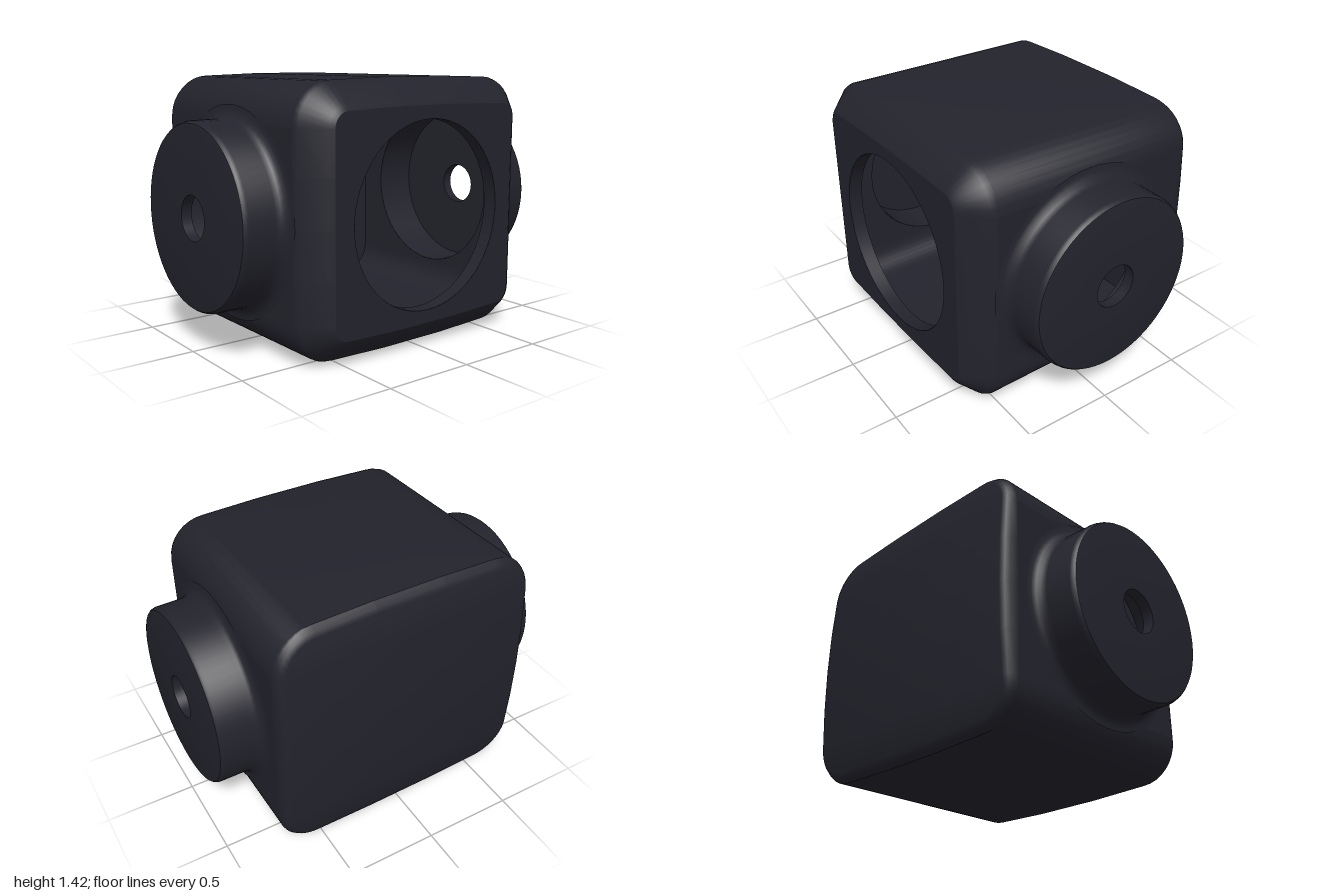
import * as THREE from 'three';
import { toCreasedNormals } from 'three/addons/utils/BufferGeometryUtils.js';

const ARC = 8; // steps per rounded corner
const HALF = 2 * ARC + 7; // section points per half turn
const COUNT = 2 * HALF;
const BOSS_BORE = 0.46;
const FACE_BORE = 0.5;

// Rounded, slightly crowned block section in [z, y], shrunk by inset
function section(inset) {
  const hz = 0.755 - inset, hy = 0.7 - inset, r = 0.22 - inset;
  const half = [[hz, 0], [hz, 0.25]];
  const corner = (start, sign) => {
    for (let k = 0; k <= ARC; k++) {
      const a = start + (k / ARC) * Math.PI / 2;
      half.push([sign * (hz - r) + r * Math.cos(a), hy - r + r * Math.sin(a)]);
    }
  };
  corner(0, 1);
  half.push([0.2, hy + 0.01], [-0.2, hy + 0.01]);
  corner(Math.PI / 2, -1);
  half.push([-hz, 0.25]);
  return [...half, ...half.map(([z, y]) => [-z, -y])];
}

// Loft of sections along x with a closed left end; the flat sides of one span stay open
function loft(rings, openSpan) {
  const pos = [], idx = [];
  for (const [x, inset, bow] of rings) {
    for (const [z, y] of section(inset)) pos.push(x + bow * (y / 0.71) ** 2, y, z);
  }
  const at = (i, j) => i * COUNT + ((j % COUNT) + COUNT) % COUNT;
  for (let i = 0; i < rings.length - 1; i++) {
    for (let j = 0; j < COUNT; j++) {
      const k = j % HALF;
      if (i === openSpan && (k < 2 || k >= HALF - 2)) continue;
      idx.push(at(i, j), at(i + 1, j), at(i, j + 1));
      idx.push(at(i + 1, j), at(i + 1, j + 1), at(i, j + 1));
    }
  }
  for (let j = -(ARC + 3); j < ARC + 3; j++) {
    const a = at(0, j), b = at(0, j + 1), c = at(0, HALF - j - 1), d = at(0, HALF - j);
    idx.push(a, b, c, a, c, d);
  }
  const g = new THREE.BufferGeometry();
  g.setAttribute('position', new THREE.Float32BufferAttribute(pos, 3));
  g.setIndex(idx);
  return toCreasedNormals(g, 0.6);
}

// Flat outline with a round hole
function plate(points, radius) {
  const shape = new THREE.Shape(points.map(([u, v]) => new THREE.Vector2(u, v)));
  const hole = new THREE.Path();
  hole.absarc(0, 0, radius, 0, Math.PI * 2, true);
  shape.holes.push(hole);
  return new THREE.ShapeGeometry(shape, 64);
}

export function createModel() {
  const model = new THREE.Group();
  const block = new THREE.Group();
  block.name = 'housing';
  block.position.y = 0.71;
  block.rotation.y = 0.02;
  model.add(block);

  const charcoal = new THREE.MeshStandardMaterial({ color: 0x23232d, side: THREE.DoubleSide });
  charcoal.name = 'charcoal';
  const add = (name, geometry, parent = block) => {
    const mesh = new THREE.Mesh(geometry, charcoal);
    mesh.name = name;
    parent.add(mesh);
    return mesh;
  };

  // Outer shell: bowed closed end, chamfered open end
  add('outerShell', loft([
    [-0.71, 0.05, 0.045], [-0.7, 0.022, 0.045], [-0.68, 0.006, 0.045], [-0.63, 0, 0],
    [0.55, 0, 0], [0.58, 0.012, 0], [0.685, 0.115, 0], [0.7, 0.14, 0],
  ], 3));

  // Hollow inside
  add('innerCavity', loft([[-0.62, 0.08, 0], [0.62, 0.08, 0]], 0));

  // Open face, its inner wall and the bore rim
  for (const [name, x, inset] of [['boreFace', 0.7, 0.14], ['boreInnerWall', 0.62, 0.08]]) {
    const g = plate(section(inset), FACE_BORE);
    g.rotateY(Math.PI / 2);
    add(name, g).position.x = x;
  }
  const rim = new THREE.CylinderGeometry(FACE_BORE, FACE_BORE, 0.08, 64, 1, true);
  rim.rotateZ(Math.PI / 2);
  add('boreRim', rim).position.x = 0.66;

  // Hollow boss with a pin hole, plus the two side walls it joins
  const profile = [
    [0.57, 0.755], [0.545, 0.758], [0.52, 0.768], [0.505, 0.785], [0.497, 0.815],
    [0.495, 0.96], [0.49, 0.977], [0.482, 0.987], [0.47, 0.99], [0.12, 0.99],
    [0.12, 0.93], [BOSS_BORE, 0.93], [BOSS_BORE, 0.675],
  ].map(([r, z]) => new THREE.Vector2(r, z));
  const bossGeometry = toCreasedNormals(new THREE.LatheGeometry(profile, 64).rotateX(Math.PI / 2), 0.6);
  const wall = (x0, x1) => plate([[x0, -0.48], [x1, -0.48], [x1, 0.48], [x0, 0.48]], BOSS_BORE);

  for (const s of [1, -1]) {
    const side = new THREE.Group();
    side.name = s > 0 ? 'frontSide' : 'backSide';
    side.rotation.y = s > 0 ? 0 : Math.PI;
    block.add(side);
    add('boss', bossGeometry, side);
    add('outerWall', s > 0 ? wall(-0.63, 0.55) : wall(-0.55, 0.63), side).position.z = 0.755;
    add('innerWall', wall(-0.62, 0.62), side).position.z = 0.675;
  }
  return model;
}
